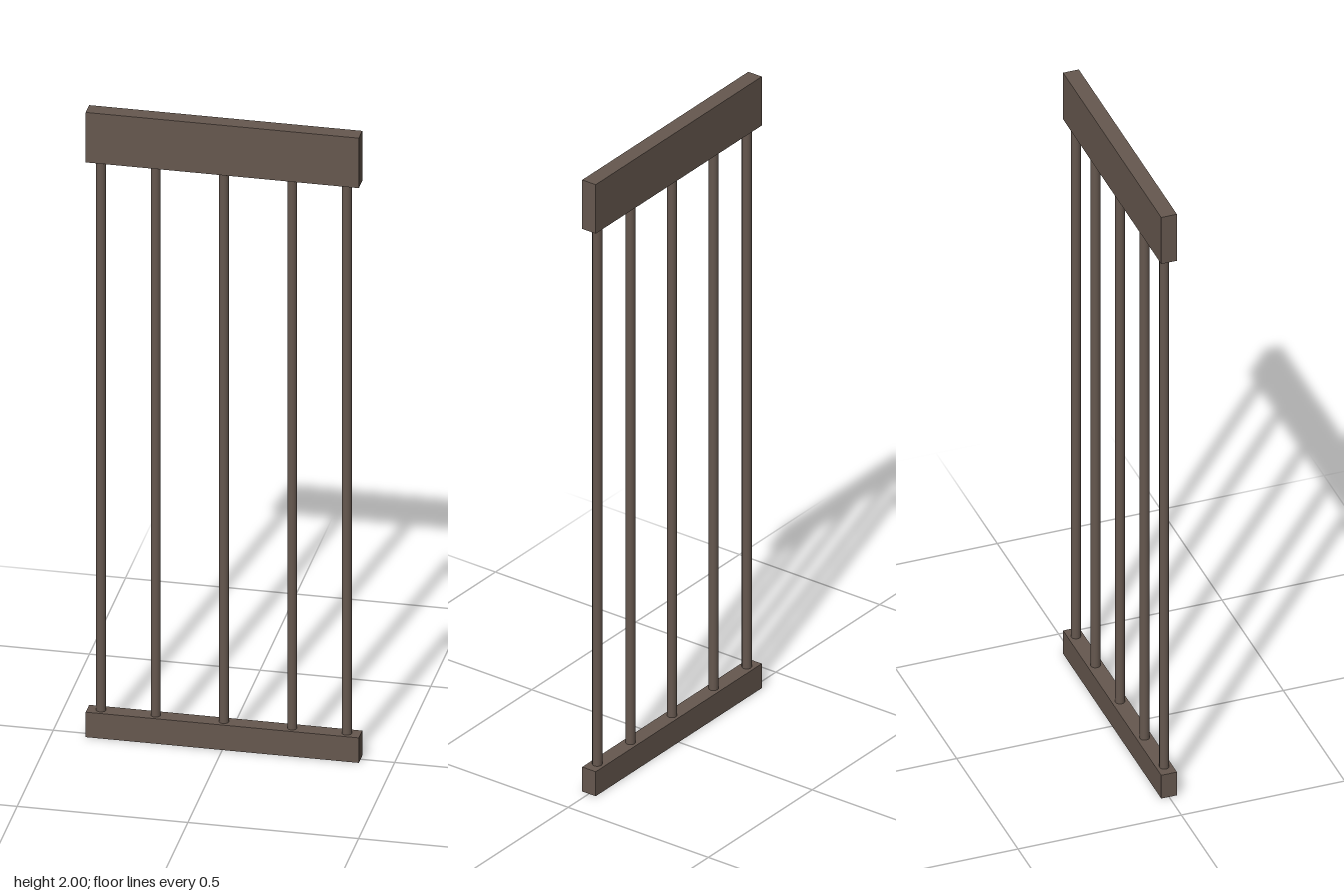
import * as THREE from 'three';

export function createModel() {
  const model = new THREE.Group();
  const darkWood = new THREE.MeshStandardMaterial({ color: 0x66584f });
  darkWood.name = 'darkBrown';

  // Solid rails closing the panel at top and bottom
  function rail(name, bottom, top) {
    const mesh = new THREE.Mesh(new THREE.BoxGeometry(0.8, top - bottom, 0.048), darkWood);
    mesh.name = name;
    mesh.position.y = (bottom + top) / 2;
    model.add(mesh);
  }
  rail('bottomRail', 0, 0.08);
  rail('topRail', 1.84, 2);

  // Slender round bars, the outer pair set closer to their neighbours
  const barGeometry = new THREE.CylinderGeometry(0.0145, 0.0145, 1.78, 12);
  [-0.36, -0.2, 0, 0.2, 0.36].forEach((x, i) => {
    const bar = new THREE.Mesh(barGeometry, darkWood);
    bar.name = `bar${i + 1}`;
    bar.position.set(x, 0.96, 0);
    model.add(bar);
  });

  return model;
}
